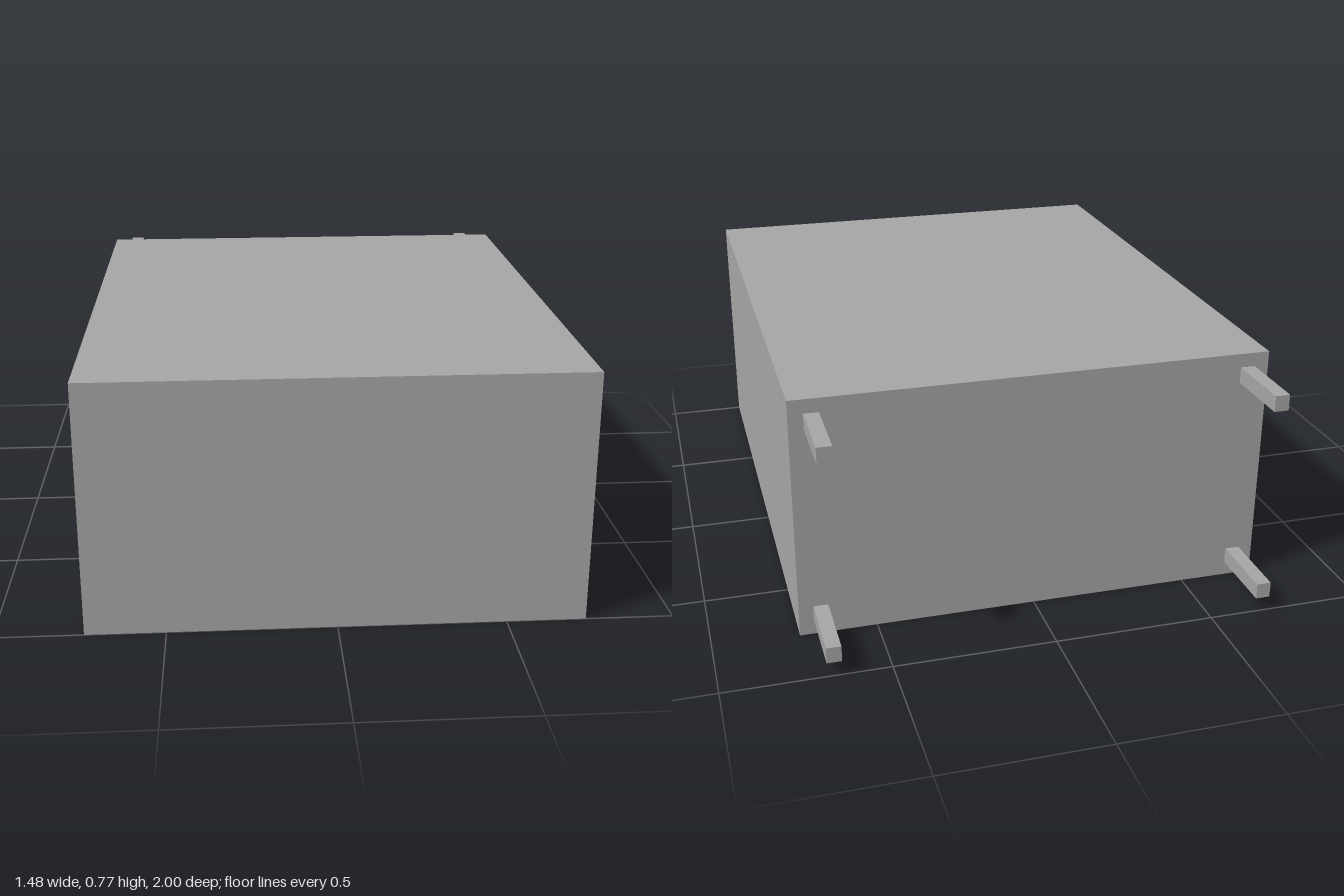
import * as THREE from 'three';

const W = 1.475, H = 0.77, BACK = -0.77, FRONT = 1;
const DEPTH = FRONT - BACK, RECESS = 0.013, BORDER = 0.035, BAYS = 5;

// Axis-aligned rectangle, traced into a Shape or Path
function rect(path, x0, y0, x1, y1) {
  path.moveTo(x0, y0);
  path.lineTo(x1, y0);
  path.lineTo(x1, y1);
  path.lineTo(x0, y1);
  path.closePath();
  return path;
}

export function createModel() {
  const model = new THREE.Group();
  model.name = 'cabinet';
  const material = new THREE.MeshStandardMaterial({ color: 0xa4a4a4, flatShading: true });

  const add = (name, geometry, x, y, z) => {
    const mesh = new THREE.Mesh(geometry, material);
    mesh.name = name;
    mesh.position.set(x, y, z);
    model.add(mesh);
  };

  // Main body, standing on the shallow ribbed base
  add('body', new THREE.BoxGeometry(W, H - RECESS, DEPTH), 0, (H + RECESS) / 2, (FRONT + BACK) / 2);

  // Base frame with five long recesses running across the width
  const frame = rect(new THREE.Shape(), -W / 2, BACK, W / 2, FRONT);
  const bay = (DEPTH - BORDER) / BAYS;
  for (let i = 0; i < BAYS; i++) {
    const z0 = BACK + BORDER + i * bay;
    frame.holes.push(rect(new THREE.Path(), -W / 2 + BORDER, z0, W / 2 - BORDER, z0 + bay - BORDER));
  }
  const frameGeometry = new THREE.ExtrudeGeometry(frame, { depth: RECESS, bevelEnabled: false });
  frameGeometry.rotateX(Math.PI / 2);
  add('ribbedBase', frameGeometry, 0, RECESS, 0);

  // Four square pegs reaching out of the back
  const pegLength = 1 + BACK;
  const pegGeometry = new THREE.BoxGeometry(0.045, 0.05, pegLength);
  for (const side of [-1, 1]) {
    for (const y of [0.07, 0.701]) {
      add('backPeg', pegGeometry, side * 0.67, y, -1 + pegLength / 2);
    }
  }
  return model;
}
